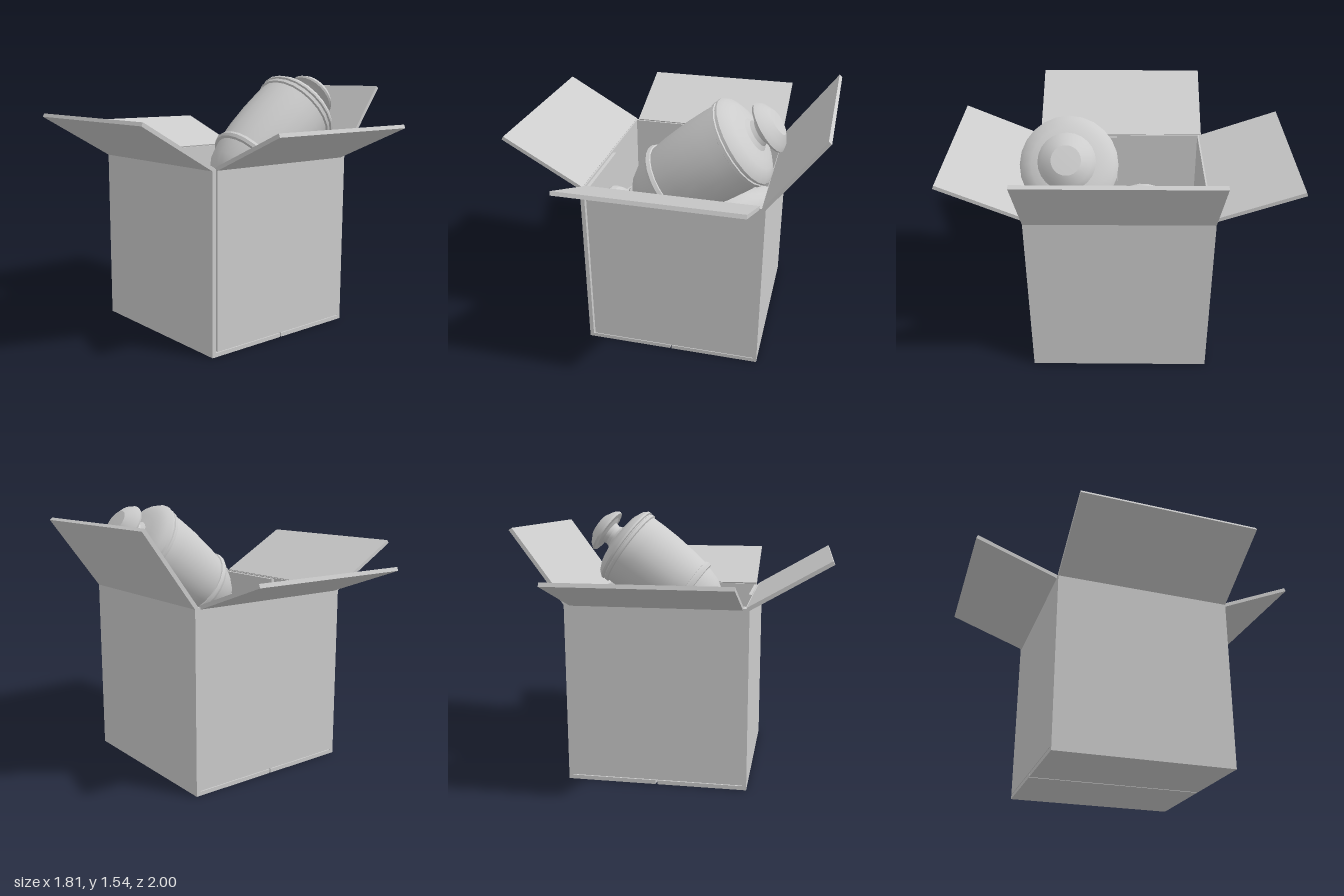
import * as THREE from 'three';
import { toCreasedNormals } from 'three/addons/utils/BufferGeometryUtils.js';

const grey = new THREE.MeshStandardMaterial({ color: 0xcccccc });
grey.name = 'plainGrey';
const greySheet = new THREE.MeshStandardMaterial({ color: 0xcccccc, side: THREE.DoubleSide });
greySheet.name = 'plainGreySheet';

function add(parent, name, geometry, material = grey) {
  const mesh = new THREE.Mesh(geometry, material);
  mesh.name = name;
  parent.add(mesh);
  return mesh;
}

// box given by its lower and upper limits on each axis
function slab(parent, name, [x0, x1], [y0, y1], [z0, z1]) {
  const mesh = add(parent, name, new THREE.BoxGeometry(x1 - x0, y1 - y0, z1 - z0));
  mesh.position.set((x0 + x1) / 2, (y0 + y1) / 2, (z0 + z1) / 2);
}

// open flap from hinge (h, y) to tip, in the x-y plane or the z-y plane
function flap(parent, name, axis, hinge, tip, [w0, w1]) {
  const du = tip[0] - hinge[0], dv = tip[1] - hinge[1];
  const len = Math.hypot(du, dv), mid = (w0 + w1) / 2;
  const u = (hinge[0] + tip[0]) / 2, v = (hinge[1] + tip[1]) / 2;
  const alongX = axis === 'x';
  const mesh = add(parent, name, alongX
    ? new THREE.BoxGeometry(len, 0.022, w1 - w0)
    : new THREE.BoxGeometry(w1 - w0, 0.022, len));
  const angle = Math.atan2(dv, du);
  if (alongX) {
    mesh.position.set(u, v, mid);
    mesh.rotation.z = angle;
  } else {
    mesh.position.set(mid, v, u);
    mesh.rotation.x = -angle;
  }
}

function buildBox() {
  const box = new THREE.Group();
  box.name = 'cardboardBox';

  // walls, with a narrow open seam at the front right corner
  slab(box, 'rightWall', [-0.46, -0.436], [0, 1.055], [-0.523, 0.533]);
  slab(box, 'leftWall', [0.571, 0.595], [0, 1.055], [-0.523, 0.533]);
  slab(box, 'frontWall', [-0.425, 0.571], [0.028, 1.055], [0.509, 0.533]);
  slab(box, 'backWall', [-0.436, 0.571], [0.028, 1.055], [-0.523, -0.499]);
  slab(box, 'glueTab', [-0.43, -0.41], [0.03, 1.05], [0.03, 0.509]);

  // floor: two outer leaves with a seam, two inner leaves above
  slab(box, 'floorLeafRight', [-0.436, 0.06], [0, 0.024], [-0.523, 0.533]);
  slab(box, 'floorLeafLeft', [0.07, 0.571], [0, 0.024], [-0.523, 0.533]);
  slab(box, 'innerFloorFront', [-0.41, 0.56], [0.028, 0.05], [0.03, 0.509]);
  slab(box, 'innerFloorBack', [-0.41, 0.56], [0.028, 0.05], [-0.499, 0.02]);

  // open flaps
  flap(box, 'rightFlap', 'x', [-0.448, 1.05], [-0.9, 1.312], [-0.523, 0.533]);
  flap(box, 'leftFlap', 'x', [0.583, 1.05], [0.894, 1.472], [-0.523, 0.533]);
  flap(box, 'frontFlap', 'z', [0.521, 1.052], [0.996, 1.262], [-0.425, 0.56]);
  flap(box, 'backFlap', 'z', [-0.511, 1.052], [-0.996, 1.228], [-0.425, 0.56]);
  return box;
}

// crumpled packing paper, heaped toward the front right corner
function paperGeometry() {
  const geo = new THREE.PlaneGeometry(0.98, 1.0, 16, 16);
  geo.rotateX(-Math.PI / 2);
  geo.translate(0.073, 0, 0.005);
  const p = geo.attributes.position;
  for (let i = 0; i < p.count; i++) {
    const x = p.getX(i), z = p.getZ(i);
    const crumple = 0.02 * Math.sin(9 * x + 4 * z) + 0.015 * Math.sin(13 * z - 6 * x + 1)
      + 0.01 * Math.sin(21 * x + 17 * z);
    const corner = 0.12 * Math.exp(-((x + 0.42) ** 2 + (z - 0.5) ** 2) / 0.03);
    p.setY(i, 0.65 + crumple + corner);
  }
  geo.computeVertexNormals();
  return geo;
}

function lathe(points) {
  const pts = points.map(([r, s]) => new THREE.Vector2(r, s));
  return toCreasedNormals(new THREE.LatheGeometry(pts, 24), 0.5);
}

// lidded urn along +y, with its widest rim at y = 0
function buildUrn() {
  const urn = new THREE.Group();
  urn.name = 'urn';
  add(urn, 'foot', lathe([
    [0, -0.925], [0.12, -0.925], [0.147, -0.905], [0.147, -0.875], [0.125, -0.85],
    [0.07, -0.832], [0.05, -0.815], [0.05, -0.79], [0.06, -0.775],
    [0.085, -0.77], [0.09, -0.755], [0.085, -0.74], [0.09, -0.735]]));
  add(urn, 'body', lathe([
    [0.09, -0.735], [0.14, -0.69], [0.185, -0.62], [0.212, -0.53],
    [0.23, -0.528], [0.238, -0.51], [0.23, -0.49], [0.222, -0.488],
    [0.236, -0.4], [0.25, -0.25], [0.254, -0.12], [0.253, -0.045]]));
  add(urn, 'rim', lathe([
    [0.253, -0.045], [0.264, -0.04], [0.264, -0.022], [0.256, -0.018],
    [0.256, -0.012], [0.267, -0.008], [0.267, 0.004]]));
  add(urn, 'lid', lathe([
    [0.267, 0.004], [0.245, 0.03], [0.2, 0.053], [0.15, 0.064], [0.1, 0.072],
    [0.078, 0.09], [0.07, 0.112], [0.076, 0.138], [0.11, 0.148]]));
  add(urn, 'knob', lathe([
    [0.11, 0.148], [0.147, 0.15], [0.152, 0.162], [0.13, 0.19], [0.078, 0.221], [0, 0.224]]));
  urn.position.set(0.425, 1.325, 0.277);
  urn.rotation.z = -0.945;
  return urn;
}

export function createModel() {
  const model = new THREE.Group();
  model.name = 'boxWithUrn';
  model.add(buildBox(), buildUrn());
  add(model, 'packingPaper', paperGeometry(), greySheet);
  return model;
}
